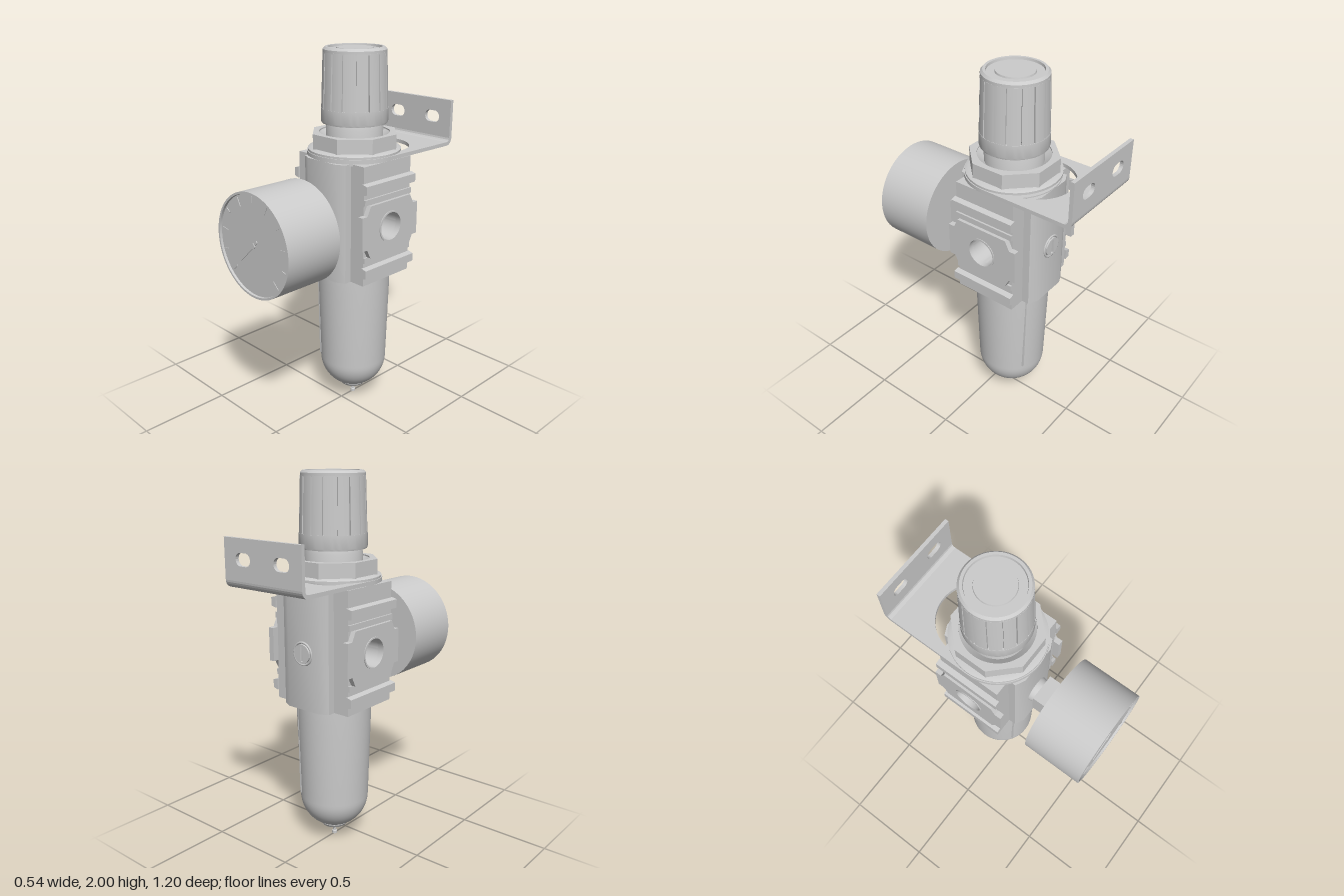
import * as THREE from 'three';
import { toCreasedNormals } from 'three/addons/utils/BufferGeometryUtils.js';

const material = new THREE.MeshStandardMaterial({ color: 0xcccccc });
const V = (x, y) => new THREE.Vector2(x, y);

export function createModel() {
  const root = new THREE.Group();
  root.name = 'filterRegulator';
  // Everything is built around the vertical axis of the body.
  const unit = new THREE.Group();
  unit.name = 'unit';
  unit.position.z = -0.095;
  root.add(unit);

  function add(name, geo, x = 0, y = 0, z = 0, parent = unit) {
    const mesh = new THREE.Mesh(geo, material);
    mesh.name = name;
    mesh.position.set(x, y, z);
    parent.add(mesh);
    return mesh;
  }
  const lathe = (pts, seg = 64) =>
    toCreasedNormals(new THREE.LatheGeometry(pts.map(p => V(...p)), seg), 0.5);
  const extrude = (shape, depth) =>
    toCreasedNormals(new THREE.ExtrudeGeometry(shape, { depth, bevelEnabled: false, curveSegments: 32 }), 0.5);
  const extrudeUp = (shape, depth) => extrude(shape, depth).rotateX(-Math.PI / 2);
  const extrudeSide = (shape, depth) => extrude(shape, depth).rotateY(Math.PI / 2);
  const poly = pts => new THREE.Shape(pts.map(p => V(...p)));
  const rect = (x0, y0, x1, y1) => poly([[x0, y0], [x1, y0], [x1, y1], [x0, y1]]);
  const hole = (shape, x, y, r) => {
    shape.holes.push(new THREE.Path().absarc(x, y, r, 0, Math.PI * 2, true));
    return shape;
  };

  // Transparent-style bowl with domed bottom and drain pin
  const bowl = [[0, 0.07], [0.07, 0.07], [0.08, 0.085]];
  for (let i = 0; i <= 12; i++) {
    const a = -1.13 + (1.13 * i) / 12;
    bowl.push([0.187 * Math.cos(a), 0.26 + 0.187 * Math.sin(a)]);
  }
  bowl.push([0.2, 0.72], [0.2, 0.82]);
  add('bowl', lathe(bowl));
  add('drainPin', lathe([[0, 0], [0.014, 0], [0.014, 0.015], [0.008, 0.018], [0.008, 0.08]], 20));
  for (const s of [-1, 1]) {
    const ridge = add('bowlRidge', new THREE.BoxGeometry(0.008, 0.5, 0.012), s * 0.104, 0.53, s * -0.162);
    ridge.position.z = -s * 0.162;
    ridge.rotation.x = -s * 0.02;
  }

  // Body core with raised front and back panels
  const quarter = [[0.15, 0.175], [0.15, 0.215], [0.1, 0.24]];
  const outline = [
    ...quarter,
    ...quarter.map(([x, y]) => [-x, y]).reverse(),
    ...quarter.map(([x, y]) => [-x, -y]),
    ...quarter.map(([x, y]) => [x, -y]).reverse(),
  ];
  add('bodyCore', extrudeUp(poly(outline), 0.64), 0, 0.81, 0);

  // Side blocks with threaded port, boss and ribs; the other side is turned half round
  for (const side of [0, 1]) {
    const g = new THREE.Group();
    g.name = side ? 'rightSide' : 'leftSide';
    g.rotation.y = side * Math.PI;
    unit.add(g);
    const port = 1.11;
    add('sideBlock', extrudeSide(hole(rect(-0.175, 0.81, 0.175, 1.45), 0, port, 0.075), 0.095), 0.145, 0, 0, g);
    const boss = poly([
      [-0.15, 0.97], [0.15, 0.97], [0.175, 1.02], [0.21, 1.02], [0.21, 1.2],
      [0.175, 1.2], [0.15, 1.25], [-0.15, 1.25], [-0.175, 1.2], [-0.21, 1.2],
      [-0.21, 1.02], [-0.175, 1.02],
    ]);
    add('portBoss', extrudeSide(hole(boss, 0, port, 0.08), 0.03), 0.237, 0, 0, g);
    add('portRing', lathe([[0.075, 0], [0.084, 0], [0.084, 0.034], [0.075, 0.034], [0.075, 0]], 40)
      .rotateZ(-Math.PI / 2), 0.237, port, 0, g);
    for (const y of [0.885, 1.335]) {
      const rib = poly([[0, -0.03], [0.03, -0.022], [0.03, 0.022], [0, 0.03]]);
      add('rib', extrude(rib, 0.37), 0.239, y, -0.185, g);
    }
    for (const y of [0.955, 1.265]) {
      add('thinRib', new THREE.BoxGeometry(0.012, 0.03, 0.35), 0.244, y, 0, g);
    }
  }

  // Slotted plug on the back
  const plug = new THREE.Shape().absarc(0, 0, 0.05, 0, Math.PI * 2);
  plug.holes.push(new THREE.Path([V(-0.009, -0.04), V(-0.009, 0.04), V(0.009, 0.04), V(0.009, -0.04)]));
  add('backPlug', extrude(plug, 0.012), 0, 1.11, -0.25);
  add('plugRim', new THREE.TorusGeometry(0.058, 0.006, 8, 40), 0, 1.11, -0.24);

  // Bracket: plate with long opening, bend, and upright with two slots
  const plate = new THREE.Shape();
  plate.moveTo(-0.25, 0.465);
  plate.lineTo(-0.25, 0);
  plate.absarc(0, 0, 0.25, Math.PI, Math.PI * 2, false);
  plate.lineTo(0.25, 0.465);
  const opening = new THREE.Path();
  opening.absarc(0, 0, 0.2, Math.PI, Math.PI * 2, false);
  opening.absarc(0, 0.135, 0.2, 0, Math.PI, false);
  plate.holes.push(opening);
  add('bracketPlate', extrudeUp(plate, 0.02), 0, 1.455, 0);
  const bend = new THREE.Shape();
  bend.absarc(0, 0, 0.04, -Math.PI / 2, 0, false);
  bend.absarc(0, 0, 0.02, 0, -Math.PI / 2, true);
  add('bracketBend', extrudeSide(bend, 0.5), -0.25, 1.495, -0.465);
  const upright = rect(-0.25, 1.495, 0.25, 1.7);
  for (const x of [-0.125, 0.125]) {
    const slot = new THREE.Path();
    slot.absarc(x + 0.017, 1.6, 0.032, -Math.PI / 2, Math.PI / 2, false);
    slot.absarc(x - 0.017, 1.6, 0.032, Math.PI / 2, Math.PI * 1.5, false);
    upright.holes.push(slot);
  }
  add('bracketUpright', extrude(upright, 0.02), 0, 0, -0.505);

  // Flange, octagonal panel nut and neck
  add('flange', lathe([[0.19, 1.44], [0.24, 1.44], [0.24, 1.456], [0.19, 1.456]]));
  add('nutWasher', lathe([[0.16, 1.474], [0.245, 1.474], [0.245, 1.486], [0.225, 1.495], [0.16, 1.495]]));
  const nut = new THREE.Shape();
  for (let i = 0; i < 8; i++) {
    const a = ((i + 0.5) * Math.PI) / 4;
    nut[i ? 'lineTo' : 'moveTo'](0.232 * Math.cos(a), 0.232 * Math.sin(a));
  }
  add('panelNut', extrudeUp(hole(nut, 0, 0, 0.185), 0.08), 0, 1.49, 0);
  add('nutCone', lathe([[0.187, 1.565], [0.15, 1.535], [0.13, 1.535]].reverse().map(([r, y]) => [r, y]))
    .scale(1, 1, 1)).material = Object.assign(material.clone(), { side: THREE.DoubleSide });
  add('neck', lathe([[0.15, 1.44], [0.15, 1.6], [0.14, 1.63]]));

  // Knob: lower skirt, fluted grip and recessed cap
  add('knobSkirt', lathe([[0.13, 1.62], [0.172, 1.62], [0.175, 1.63], [0.174, 1.695], [0.15, 1.695]]));
  const grip = new THREE.Shape();
  const flutes = 16;
  for (let i = 0; i < flutes; i++) {
    const step = (Math.PI * 2) / flutes;
    for (const [t, r] of [[0, 0.161], [0.12, 0.161], [0.12, 0.173], [0.34, 0.173], [0.56, 0.173], [0.78, 0.173], [1, 0.173]]) {
      const a = (i + t) * step;
      grip[i || t ? 'lineTo' : 'moveTo'](r * Math.cos(a), r * Math.sin(a));
    }
  }
  const gripGeo = new THREE.ExtrudeGeometry(grip, { depth: 0.285, bevelEnabled: false }).rotateX(-Math.PI / 2);
  const p = gripGeo.attributes.position;
  for (let i = 0; i < p.count; i++) {
    const k = 1 - 0.19 * p.getY(i);
    p.setXYZ(i, p.getX(i) * k, p.getY(i), p.getZ(i) * k);
  }
  add('knobGrip', toCreasedNormals(gripGeo, 0.5), 0, 1.69, 0);
  add('knobCap', lathe([
    [0.163, 1.97], [0.163, 1.988], [0.152, 2], [0.138, 2], [0.136, 1.988],
    [0.097, 1.988], [0.095, 1.996], [0, 1.996],
  ]));

  // Pressure gauge with stem, recessed dial, scale marks and needle
  const gauge = new THREE.Group();
  gauge.name = 'gauge';
  gauge.position.set(0, 1.11, 0);
  unit.add(gauge);
  add('gaugeCase', lathe([
    [0, 0.37], [0.271, 0.37], [0.271, 0.7], [0.26, 0.7], [0.258, 0.688], [0, 0.688],
  ], 80).rotateX(Math.PI / 2), 0, 0, 0, gauge);
  add('stemCollar', lathe([[0, 0.22], [0.07, 0.22], [0.07, 0.25], [0.06, 0.28]], 40)
    .rotateX(Math.PI / 2), 0, 0, 0, gauge);
  add('stem', new THREE.BoxGeometry(0.15, 0.145, 0.105), 0, 0, 0.325, gauge);
  for (let i = 0; i <= 10; i++) {
    const a = ((225 - 27 * i) * Math.PI) / 180;
    const len = i % 2 ? 0.03 : 0.05;
    const r = 0.25 - len / 2;
    add('scaleMark', new THREE.BoxGeometry(len, 0.005, 0.004), r * Math.cos(a), r * Math.sin(a), 0.689, gauge)
      .rotation.z = a;
  }
  const needle = poly([[-0.04, -0.006], [0.15, -0.002], [0.15, 0.002], [-0.04, 0.006]]);
  add('needle', extrude(needle, 0.004), 0, 0, 0.688, gauge).rotation.z = Math.PI * 1.25;
  add('needleHub', new THREE.CylinderGeometry(0.013, 0.013, 0.008, 24).rotateX(Math.PI / 2), 0, 0, 0.691, gauge);

  return root;
}
